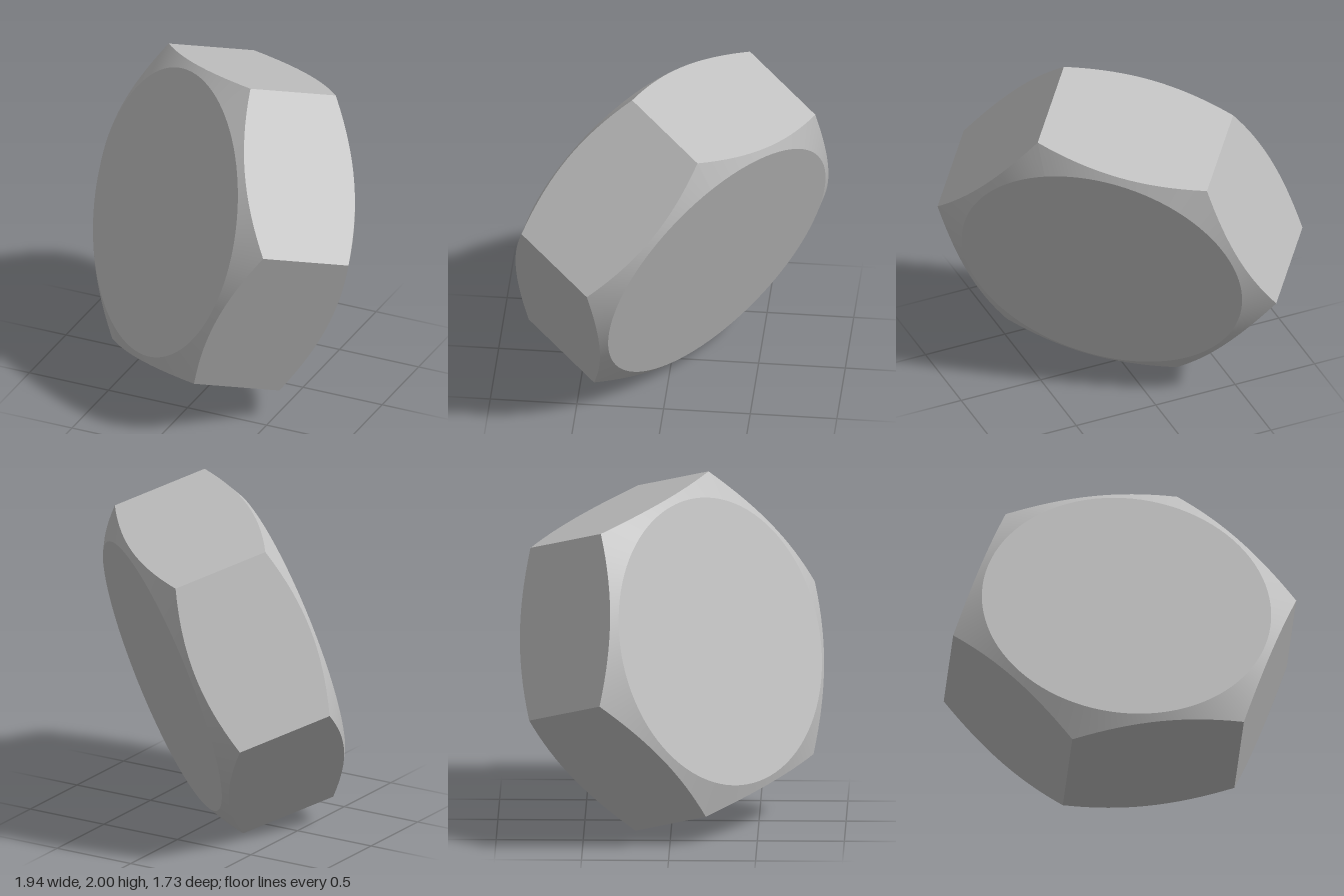
import * as THREE from 'three';

const CORNER = 1.0145;                         // hexagon circumradius
const APOTHEM = CORNER * Math.cos(Math.PI / 6);
const FACE_R = 0.835;                          // radius of the round end faces
const HALF = 0.388;                            // half thickness at the end faces
const SLOPE = (HALF - 0.2826) / (CORNER - FACE_R); // chamfer cone drop per radius
const SEG = 16;                                // steps along each flat

// Point on the hexagon outline at step i, on the chamfer cone (side = 1 or -1)
function rim(i, side) {
  const a = (i / SEG) * Math.PI / 3;
  const local = ((i % SEG) / SEG) * Math.PI / 3 - Math.PI / 6;
  const r = APOTHEM / Math.cos(local);
  return [r * Math.cos(a), r * Math.sin(a), side * (HALF - SLOPE * (r - FACE_R))];
}

function circlePoint(i) {
  const a = (i / SEG) * Math.PI / 3;
  return [FACE_R * Math.cos(a), FACE_R * Math.sin(a), HALF];
}

// Band of quads between an upper and a lower row of points
function band(upper, lower, from, to) {
  const pos = [], index = [];
  for (let i = from; i <= to; i++) pos.push(...upper(i), ...lower(i));
  for (let k = 0; k < to - from; k++) {
    const a = 2 * k;
    index.push(a, a + 1, a + 3, a, a + 3, a + 2);
  }
  const g = new THREE.BufferGeometry();
  g.setAttribute('position', new THREE.Float32BufferAttribute(pos, 3));
  g.setIndex(index);
  g.computeVertexNormals();
  return g;
}

export function createModel() {
  const steel = new THREE.MeshStandardMaterial({ color: 0xc0c0c0 });
  steel.name = 'steel grey';
  const model = new THREE.Group();
  model.name = 'hexHead';
  const add = (parent, name, geometry) => {
    const mesh = new THREE.Mesh(geometry, steel);
    mesh.name = name;
    parent.add(mesh);
    return mesh;
  };

  const head = new THREE.Group();
  head.name = 'tiltedHead';

  // Six flats with curved ends where the chamfer cuts them
  for (let f = 0; f < 6; f++) {
    add(head, 'sideFlat' + (f + 1),
      band(i => rim(i, 1), i => rim(i, -1), f * SEG, (f + 1) * SEG));
  }

  // Both ends: round flat face and conical chamfer
  const faceGeo = new THREE.CircleGeometry(FACE_R, 6 * SEG);
  const chamferGeo = band(circlePoint, i => rim(i, 1), 0, 6 * SEG);
  for (const [name, turn] of [['front', 0], ['back', Math.PI]]) {
    const end = new THREE.Group();
    end.name = name + 'End';
    add(end, name + 'Face', faceGeo).position.z = HALF;
    add(end, name + 'Chamfer', chamferGeo);
    end.rotation.x = turn;
    head.add(end);
  }

  // Tilt: local z is the head's axis, local x points at a corner
  const axis = new THREE.Vector3(-0.619, 0.296, 0.727).normalize();
  const corner = new THREE.Vector3(0.435, 0.915, 0);
  corner.addScaledVector(axis, -corner.dot(axis)).normalize();
  const side = new THREE.Vector3().crossVectors(axis, corner);
  head.quaternion.setFromRotationMatrix(new THREE.Matrix4().makeBasis(corner, side, axis));
  head.position.y = 1;
  model.add(head);
  return model;
}
